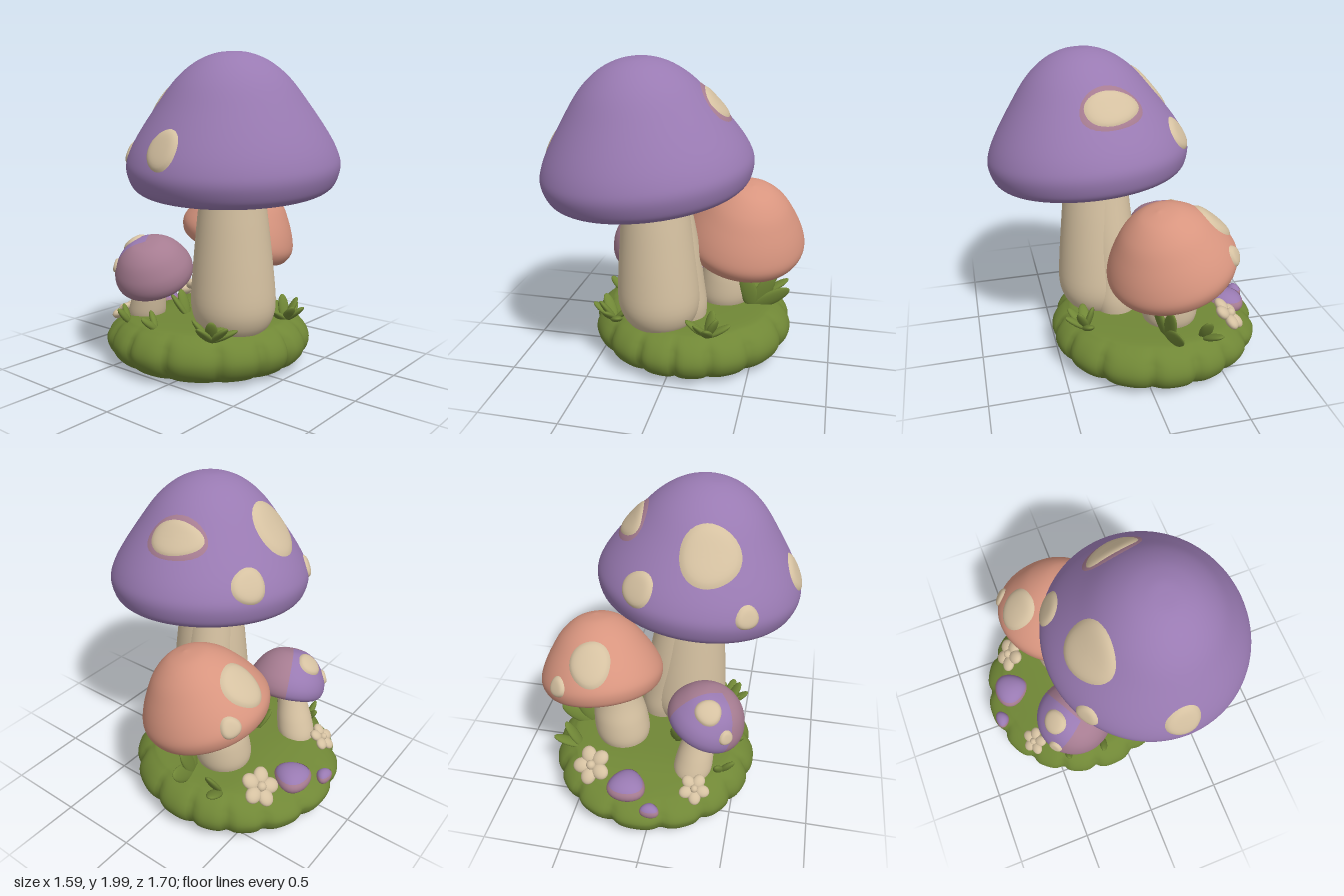
import * as THREE from 'three';
import { mergeVertices } from 'three/addons/utils/BufferGeometryUtils.js';

const mat = (name, color) => {
  const m = new THREE.MeshStandardMaterial({ color, side: THREE.DoubleSide });
  m.name = name;
  return m;
};

export function createModel() {
  const purple = mat('purple', 0x997ab2), pink = mat('coral pink', 0xd8957f);
  const cream = mat('cream', 0xd5c1a1), green = mat('moss green', 0x708736);
  const mauve = mat('mauve', 0xa67c91);
  const root = new THREE.Group();
  root.name = 'mushroomCluster';

  const add = (parent, name, geo, material) => {
    const m = new THREE.Mesh(geo, material);
    m.name = name;
    parent.add(m);
    return m;
  };
  const spline = (pts, n) => new THREE.SplineCurve(pts.map(p => new THREE.Vector2(...p)))
    .getPoints(n).map(p => p.setX(Math.max(p.x, 0)));

  // Move every vertex by a rule, then weld and smooth
  const shape = (geo, rule) => {
    const p = geo.attributes.position, v = new THREE.Vector3();
    for (let i = 0; i < p.count; i++) {
      rule(v.fromBufferAttribute(p, i));
      p.setXYZ(i, v.x, v.y, v.z);
    }
    geo.deleteAttribute('uv');
    geo.deleteAttribute('normal');
    const out = mergeVertices(geo, 1e-5);
    out.computeVertexNormals();
    return out;
  };

  // Lobed mossy mound, grooves running further inward underneath
  const moundPts = spline([[0, 0.035], [0.3, 0.025], [0.47, 0.008], [0.59, 0.035], [0.66, 0.09],
    [0.687, 0.165], [0.66, 0.24], [0.59, 0.3], [0.48, 0.327], [0, 0.33]], 48);
  add(root, 'mossMound', shape(new THREE.LatheGeometry(moundPts, 160), v => {
    const r = Math.hypot(v.x, v.z), a = Math.atan2(v.x, v.z);
    const groove = 1 - Math.abs(Math.sin(a * 7.5 + 0.5 * Math.sin(a * 3)));
    const k = 1 - 0.055 * groove ** 2 * Math.min(1, (r / 0.66) ** (v.y < 0.165 ? 3 : 8));
    v.x = v.x * k * 0.975 + 0.06;
    v.z = v.z * k - 0.16;
    if (v.y > 0.15) v.y -= (v.y - 0.15) * 0.35 * THREE.MathUtils.smoothstep(-v.z, 0.4, 0.8);
  }), green);

  // Leaning stem: radius profile [r, y], axis runs from a to b in x and z
  const stem = (name, prof, a, b) => {
    const y0 = prof[0][1], y1 = prof[prof.length - 1][1];
    add(root, name, shape(new THREE.LatheGeometry(spline(prof, 24), 48), v => {
      const t = (v.y - y0) / (y1 - y0);
      v.x += a[0] + (b[0] - a[0]) * t;
      v.z += a[1] + (b[1] - a[1]) * t;
    }), cream);
  };
  stem('largeStem', [[0.18, 0.28], [0.235, 0.35], [0.265, 0.46], [0.255, 0.65], [0.225, 0.95],
    [0.2, 1.2], [0.21, 1.47]], [-0.09, 0.18], [-0.125, 0.19]);
  stem('largeStemFold', [[0.12, 0.28], [0.15, 0.4], [0.155, 0.55], [0.16, 0.8], [0.15, 1.1], [0.14, 1.4]],
    [0.07, 0.1], [-0.1, 0.15]);
  stem('mediumStem', [[0.15, 0.28], [0.18, 0.37], [0.175, 0.5], [0.15, 0.65], [0.14, 0.86]],
    [0.265, -0.21], [0.33, -0.18]);
  stem('smallStem', [[0.09, 0.24], [0.12, 0.32], [0.115, 0.42], [0.095, 0.55], [0.085, 0.7]],
    [-0.23, -0.46], [-0.29, -0.33]);

  // Cap: outer skin, inner lip, ribbed gills and raised spots
  const makeCap = (name, c, up, depth, outer, lip, lipMat, gills, ribs, sectors, spots) => {
    const g = new THREE.Group();
    g.name = name;
    g.position.set(...c);
    g.quaternion.setFromUnitVectors(new THREE.Vector3(0, 1, 0), new THREE.Vector3(...up).normalize());
    g.scale.z = depth;
    root.add(g);
    const skin = spline(outer, 60);
    for (const [m, start, len] of sectors) {
      const geo = new THREE.LatheGeometry(skin, Math.round(len * 14), start, len);
      add(g, name + 'Skin', shape(geo, () => {}), m);
    }
    add(g, name + 'Lip', shape(new THREE.LatheGeometry(spline(lip, 6), 80), () => {}), lipMat);
    const rimR = lip[0][0];
    add(g, name + 'Gills', shape(new THREE.LatheGeometry(spline(gills, 14), ribs * 6), v => {
      const r = Math.hypot(v.x, v.z);
      v.y += 0.016 * rimR * Math.sin(ribs * Math.atan2(v.x, v.z)) * Math.min(1, (rimR - r) * 8);
    }), cream);

    // Distance from the cap centre to the skin at a given elevation
    const reach = e => {
      for (let i = 1; i < skin.length; i++) {
        const a = skin[i - 1], b = skin[i];
        const ea = Math.atan2(a.y, a.x), eb = Math.atan2(b.y, b.x);
        if (e <= eb || i === skin.length - 1) {
          const t = THREE.MathUtils.clamp((e - ea) / (eb - ea || 1), 0, 1);
          return THREE.MathUtils.lerp(a.length(), b.length(), t);
        }
      }
    };
    const patch = (label, d, w, h, lift, m) => {
      const X = new THREE.Vector3(0, 1, 0).cross(d).normalize(), Y = d.clone().cross(X);
      const C = d.clone().multiplyScalar(reach(Math.asin(d.y)));
      add(g, label, shape(new THREE.RingGeometry(0, 1, 36, 8), v => {
        const q = Math.hypot(v.x, v.y), wob = 1 + 0.04 * Math.sin(3 * Math.atan2(v.y, v.x) + w * 40);
        const p = C.clone().addScaledVector(X, v.x * w * wob).addScaledVector(Y, v.y * h * wob).normalize();
        v.copy(p).multiplyScalar(reach(Math.asin(p.y)) + lift * (1 - q ** 6) - 0.003 * q ** 6);
      }), m);
    };
    const inv = g.quaternion.clone().invert();
    for (const [x, y, z, w, h, ringed] of spots) {
      const d = new THREE.Vector3(x, y, z).sub(g.position).applyQuaternion(inv).normalize();
      if (ringed) patch('spotRing', d, w + 0.03, h + 0.03, 0.007, mauve);
      patch('spot', d, w, h, 0.017, cream);
    }
  };
  const TAU = Math.PI * 2;

  makeCap('largeCap', [-0.155, 1.362, 0.225], [-0.1, 1, 0.065], 0.975,
    [[0.55, -0.15], [0.585, -0.145], [0.622, -0.105], [0.645, -0.02], [0.628, 0.06], [0.57, 0.17],
      [0.46, 0.33], [0.34, 0.485], [0.22, 0.583], [0.1, 0.632], [0, 0.641]],
    [[0.505, -0.115], [0.525, -0.14], [0.55, -0.15]], mauve,
    [[0.14, 0.12], [0.32, 0.06], [0.45, -0.04], [0.505, -0.115]], 44, [[purple, 0, TAU]],
    [[-0.275, 1.74, -0.21, 0.195, 0.195], [0.135, 1.53, -0.3, 0.112, 0.11],
      [0.245, 1.74, 0.155, 0.195, 0.12, true], [-0.745, 1.46, 0.2, 0.115, 0.125],
      [-0.51, 1.41, -0.3, 0.078, 0.075]]);

  makeCap('mediumCap', [0.405, 0.8, -0.17], [0.15, 1, 0.28], 1.03,
    [[0.3, -0.085], [0.34, -0.1], [0.375, -0.07], [0.392, 0], [0.365, 0.085], [0.305, 0.19],
      [0.225, 0.295], [0.12, 0.37], [0, 0.395]],
    [[0.27, -0.05], [0.28, -0.07], [0.3, -0.085]], pink,
    [[0.1, 0.08], [0.2, 0.04], [0.27, -0.05]], 32, [[pink, 0, TAU]],
    [[0.4, 1.07, -0.44, 0.14, 0.155], [0.6, 0.9, -0.5, 0.065, 0.07]]);

  makeCap('smallCap', [-0.3, 0.637, -0.31], [-0.44, 1, 0.08], 1,
    [[0.18, -0.06], [0.21, -0.08], [0.242, -0.055], [0.253, 0], [0.235, 0.07], [0.18, 0.155],
      [0.1, 0.21], [0, 0.225]],
    [[0.165, -0.04], [0.172, -0.052], [0.18, -0.06]], mauve,
    [[0.06, 0.05], [0.12, 0.025], [0.165, -0.04]], 24,
    [[mauve, -2.4, 4.5], [purple, 2.1, TAU - 4.5]],
    [[-0.33, 0.81, -0.45, 0.09, 0.09], [-0.45, 0.67, -0.5, 0.05, 0.05]]);

  // Grass clumps: x, y, z, leaf length, list of [yaw, tilt, roll]
  const clumps = [
    [-0.38, 0.3, 0.24, 0.19, [[-1.5, 0.9, 0], [-0.9, 0.6, 0], [-2.3, 0.7, 0], [0.4, 1.1, 0], [-0.2, 0.9, 0], [1.4, 0.8, 0]]],
    [0.25, 0.3, 0.34, 0.18, [[0.9, 0.5, 0], [1.6, 1, 0], [-0.6, 0.8, 0], [-1.6, 1, 0], [0.1, 0.9, 0], [2.6, 0.3, 0]]],
    [0.48, 0.3, -0.13, 0.29, [[0.3, 0.15, -0.45], [0.3, 0.3, -1], [0.3, 0.2, 0.3]]],
    [0.52, 0.29, -0.36, 0.22, [[1.5, 0.55, 0], [1.9, 1.05, 0]]],
    [-0.42, 0.3, -0.42, 0.14, [[-2.6, 0.5, 0.5], [-2.6, 0.5, -0.5]]],
    [-0.44, 0.31, -0.16, 0.14, [[-2.6, 0.5, 0.6], [-2.7, 0.7, -0.6]]],
    [-0.1, 0.3, -0.2, 0.2, [[3, 0.4, 0], [-2.4, 0.6, 0]]],
  ];
  for (const [x, y, z, len, leaves] of clumps) {
    const g = new THREE.Group();
    g.name = 'grassClump';
    g.position.set(x, y, z);
    root.add(g);
    for (const [yaw, tilt, roll] of leaves) {
      const geo = new THREE.SphereGeometry(0.5, 16, 12).translate(0, 0.45, 0)
        .scale(0.38 * len + 0.005, len, 0.04);
      add(g, 'leaf', geo, green).rotation.set(tilt, yaw, roll, 'YXZ');
    }
  }

  // Five-petal flowers facing up and outward
  for (const [x, y, z, r, yaw, tilt] of [[-0.28, 0.315, -0.62, 0.097, -2.9, 0.7], [0.39, 0.345, -0.575, 0.125, 2.9, 0.75]]) {
    const g = new THREE.Group();
    g.name = 'flower';
    g.position.set(x, y, z);
    g.rotation.set(tilt, yaw, 0, 'YXZ');
    root.add(g);
    for (let i = 0; i < 5; i++) {
      const a = i / 5 * TAU;
      const petal = add(g, 'petal', new THREE.SphereGeometry(1, 18, 12).scale(r * 0.4, r * 0.27, r * 0.46), cream);
      petal.position.set(Math.sin(a) * r * 0.56, 0, Math.cos(a) * r * 0.56);
      petal.rotation.y = a;
    }
    add(g, 'flowerCentre', new THREE.SphereGeometry(r * 0.25, 16, 12), cream).position.y = r * 0.14;
  }

  // Rounded pebbles with a mauve edge
  for (const [x, y, z, w, h, d] of [[0.145, 0.29, -0.65, 0.115, 0.075, 0.115], [-0.03, 0.245, -0.785, 0.058, 0.045, 0.045]]) {
    const taper = v => { v.x = x + v.x * w * (1 - 0.25 * v.z); v.z = z + v.z * d; v.y = y + v.y * h; };
    add(root, 'pebble', shape(new THREE.SphereGeometry(1, 28, 18), taper), purple);
    add(root, 'pebbleEdge', shape(new THREE.SphereGeometry(1.03, 28, 8, 0, TAU, 1.1, 1.1), taper), mauve);
  }
  return root;
}
